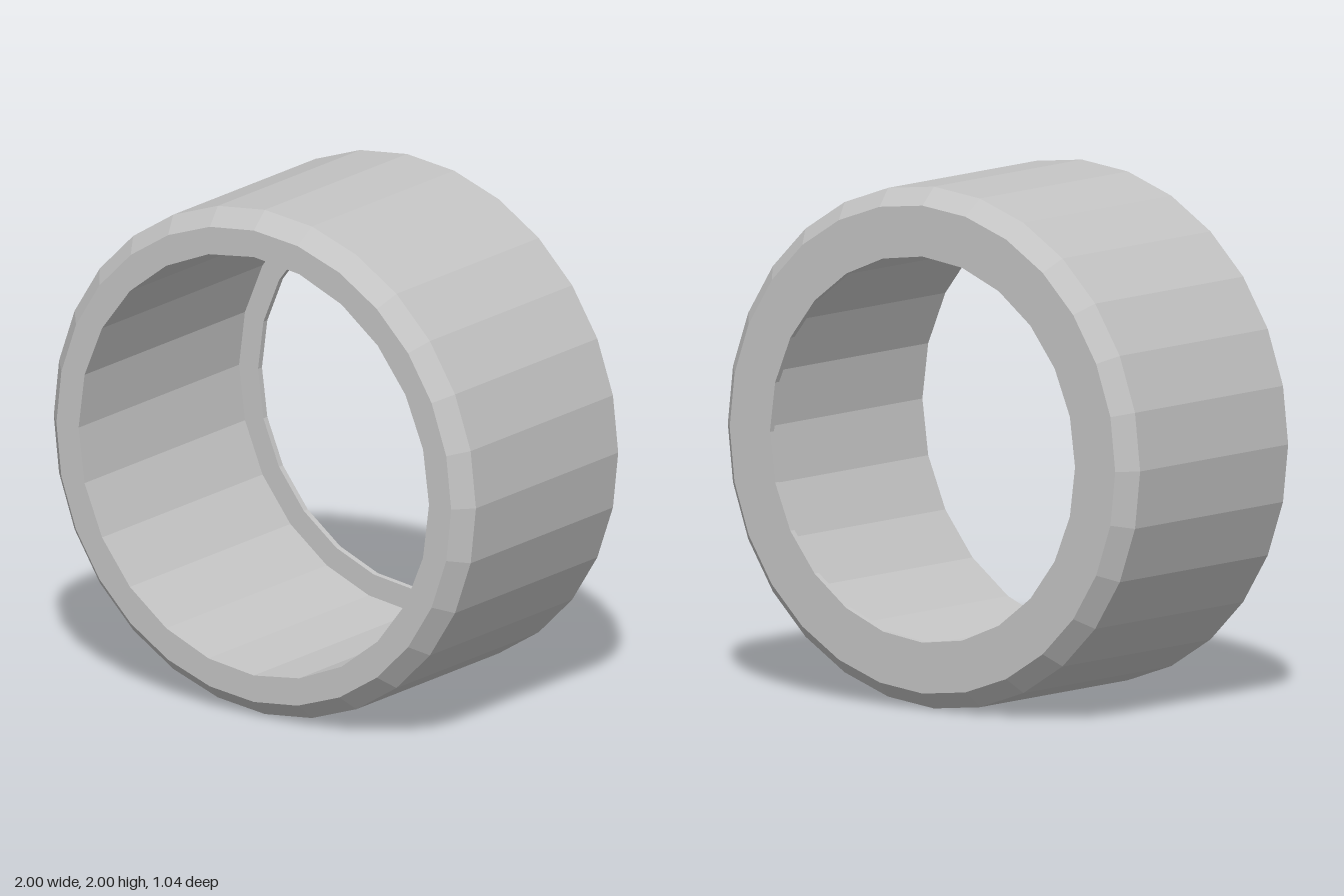
import * as THREE from 'three';

const OUTER_SIDES = 28, INNER_SIDES = 24;
const HALF = 0.52, BEVEL_Z = 0.45;
const R_OUTER = 1, R_FACE = 0.935, R_BORE = 0.83, R_LIP = 0.74, LIP_Z = -0.495;

// Regular polygon with a corner at the top
function polygon(radius, sides) {
  const points = [];
  for (let i = 0; i < sides; i++) {
    const a = (i / sides) * Math.PI * 2;
    points.push(new THREE.Vector2(Math.sin(a) * radius, Math.cos(a) * radius));
  }
  return points;
}

// Faceted wall turned around the z axis from [radius, z] pairs
function turned(profile, sides) {
  const points = profile.map(([r, z]) => new THREE.Vector2(r, z));
  return new THREE.LatheGeometry(points, sides).rotateX(Math.PI / 2);
}

// Flat annulus between the outer and inner polygons
function annulus(hole) {
  const shape = new THREE.Shape(polygon(R_FACE, OUTER_SIDES));
  shape.holes.push(new THREE.Path(polygon(hole, INNER_SIDES)));
  return new THREE.ShapeGeometry(shape);
}

export function createModel() {
  const group = new THREE.Group();
  group.name = 'ring';
  const grey = new THREE.MeshStandardMaterial({ color: 0xc4c4c4 });
  grey.name = 'grey';
  grey.flatShading = true;

  const add = (name, geometry) => {
    const mesh = new THREE.Mesh(geometry, grey);
    mesh.name = name;
    mesh.position.y = 1;
    group.add(mesh);
    return mesh;
  };

  // Outer wall with bevelled rims
  add('outerWall', turned([
    [R_FACE, -HALF], [R_OUTER, -BEVEL_Z], [R_OUTER, BEVEL_Z], [R_FACE, HALF],
  ], OUTER_SIDES));

  // Bore with a thin retaining lip at the back
  add('boreAndLip', turned([
    [R_BORE, HALF], [R_BORE, LIP_Z], [R_LIP, LIP_Z], [R_LIP, -HALF],
  ], INNER_SIDES));

  // End faces
  add('frontFace', annulus(R_BORE)).position.z = HALF;
  add('backFace', annulus(R_LIP).rotateY(Math.PI)).position.z = -HALF;

  return group;
}
